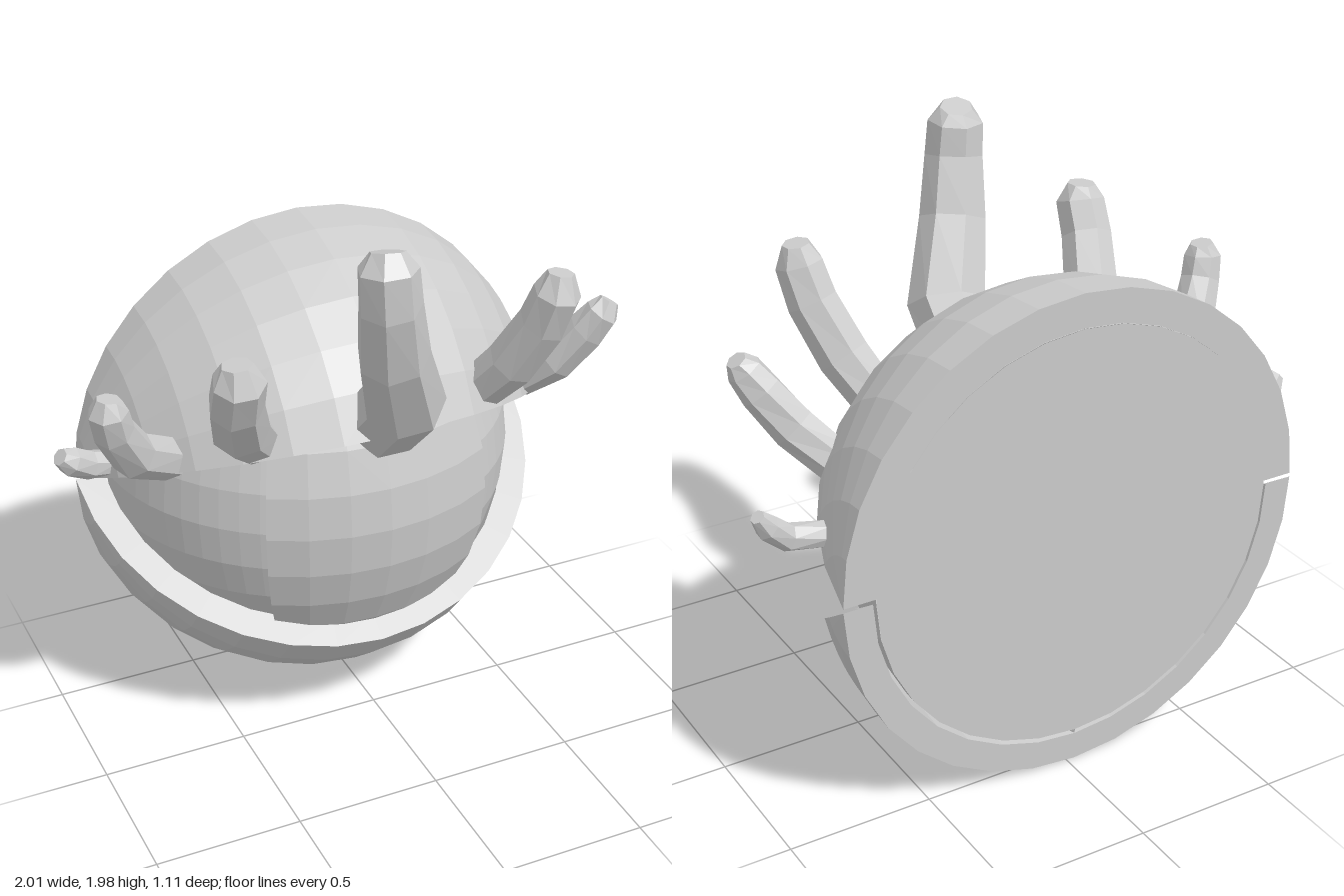
import * as THREE from 'three';
import { mergeGeometries } from 'three/addons/utils/BufferGeometryUtils.js';

const rad = THREE.MathUtils.degToRad;
const material = new THREE.MeshStandardMaterial({ color: 0xcccccc, flatShading: true, side: THREE.DoubleSide });

function part(name, geometry) {
  const mesh = new THREE.Mesh(geometry, material);
  mesh.name = name;
  return mesh;
}

// Closed wedge of a thick spherical shell, swept around y from angle a0 to a1
function shellWedge(inner, outer, a0, a1, segments) {
  const points = [];
  const arc = (r, i) => {
    const t = -Math.PI / 2 + (Math.PI * i) / 16;
    return new THREE.Vector2(Math.max(0, r * Math.cos(t)), r * Math.sin(t));
  };
  for (let i = 0; i <= 16; i++) points.push(arc(outer, i));
  for (let i = 16; i >= 0; i--) points.push(arc(inner, i));
  const pieces = [new THREE.LatheGeometry(points, segments, a0, a1 - a0)];
  for (const a of [a0, a1]) {
    pieces.push(new THREE.RingGeometry(inner, outer, 16, 1, -Math.PI / 2, Math.PI).rotateY(a - Math.PI / 2));
  }
  return mergeGeometries(pieces);
}

// Faceted tapering stalk along a path of [x, y, z, radius]
function stalk(path, sides = 7) {
  const centres = path.map((p) => new THREE.Vector3(p[0], p[1], p[2]));
  const positions = [];
  const index = [];
  const reference = new THREE.Vector3(1, 0, 0.35).normalize();
  centres.forEach((c, i) => {
    const dir = centres[Math.min(i + 1, centres.length - 1)].clone().sub(centres[Math.max(i - 1, 0)]).normalize();
    const v = new THREE.Vector3().crossVectors(dir, reference).normalize();
    const u = new THREE.Vector3().crossVectors(v, dir);
    for (let k = 0; k < sides; k++) {
      const a = (k / sides) * Math.PI * 2;
      const p = c.clone().addScaledVector(u, path[i][3] * Math.cos(a)).addScaledVector(v, path[i][3] * Math.sin(a));
      positions.push(p.x, p.y, p.z);
    }
  });
  for (let i = 0; i < path.length - 1; i++) {
    for (let k = 0; k < sides; k++) {
      const a = i * sides + k;
      const b = i * sides + ((k + 1) % sides);
      index.push(a, b, a + sides, b, b + sides, a + sides);
    }
  }
  // End cap
  const last = (path.length - 1) * sides;
  for (let k = 1; k < sides - 1; k++) index.push(last, last + k, last + k + 1);
  const geometry = new THREE.BufferGeometry();
  geometry.setAttribute('position', new THREE.Float32BufferAttribute(positions, 3));
  geometry.setIndex(index);
  geometry.computeVertexNormals();
  return geometry;
}

export function createModel() {
  const model = new THREE.Group();
  model.name = 'lashedEye';

  const eye = new THREE.Group();
  eye.name = 'eye';
  eye.position.set(-0.03, 0.85, -0.55);
  model.add(eye);

  // Half eyeball with a flat back
  eye.add(part('eyeball', new THREE.SphereGeometry(0.73, 32, 16, 0, Math.PI)));
  const back = part('eyeballBack', new THREE.CircleGeometry(0.73, 32).rotateY(Math.PI));
  back.position.z = -0.002;
  eye.add(back);

  // Raised band across the front of the eyeball
  eye.add(part('irisBand', shellWedge(0.72, 0.765, rad(-31.7), rad(31.7), 6)));

  // Eyelids hinge on the x axis
  const upper = part('upperLid', shellWedge(0.725, 0.84, rad(-90), rad(-24.4), 6).rotateZ(-Math.PI / 2));
  upper.position.y = 0.007;
  const lower = part('lowerLid', shellWedge(0.74, 0.84, rad(34.4), rad(90), 5).rotateZ(-Math.PI / 2));
  lower.position.y = -0.007;
  eye.add(upper, lower);

  // Lashes: big centre one, then three down each side
  const lashes = {
    centreLash: [
      [-0.01, 1.2, 0.1, 0.13], [-0.02, 1.36, 0.27, 0.135], [-0.12, 1.6, 0.4, 0.115],
      [-0.16, 1.8, 0.46, 0.1], [-0.17, 1.92, 0.465, 0.095], [-0.165, 1.97, 0.45, 0.055],
    ],
    rightInnerLash: [
      [-0.43, 1.19, 0.03, 0.08], [-0.53, 1.32, 0.16, 0.095], [-0.59, 1.48, 0.29, 0.088],
      [-0.6, 1.59, 0.35, 0.085], [-0.605, 1.65, 0.35, 0.05],
    ],
    rightMiddleLash: [
      [-0.67, 1.1, -0.13, 0.075], [-0.82, 1.2, -0.03, 0.078], [-0.9, 1.34, 0.04, 0.068],
      [-0.92, 1.42, 0.06, 0.065], [-0.915, 1.465, 0.06, 0.04],
    ],
    rightOuterLash: [
      [-0.8, 1, -0.35, 0.045], [-0.88, 1.02, -0.33, 0.05], [-0.95, 1.06, -0.31, 0.05],
      [-0.985, 1.09, -0.3, 0.03],
    ],
    leftInnerLash: [
      [0.37, 1.19, 0.02, 0.08], [0.44, 1.33, 0.13, 0.088], [0.5, 1.5, 0.22, 0.085],
      [0.52, 1.62, 0.265, 0.08], [0.53, 1.69, 0.265, 0.045],
    ],
    leftMiddleLash: [
      [0.61, 1.11, -0.13, 0.07], [0.7, 1.21, -0.03, 0.075], [0.78, 1.33, 0.03, 0.07],
      [0.82, 1.4, 0.06, 0.06], [0.845, 1.44, 0.06, 0.035],
    ],
    leftOuterLash: [
      [0.76, 1, -0.34, 0.042], [0.88, 1.02, -0.335, 0.045], [0.95, 1.08, -0.345, 0.042],
      [0.985, 1.13, -0.355, 0.024],
    ],
  };
  for (const [name, path] of Object.entries(lashes)) model.add(part(name, stalk(path)));

  return model;
}
